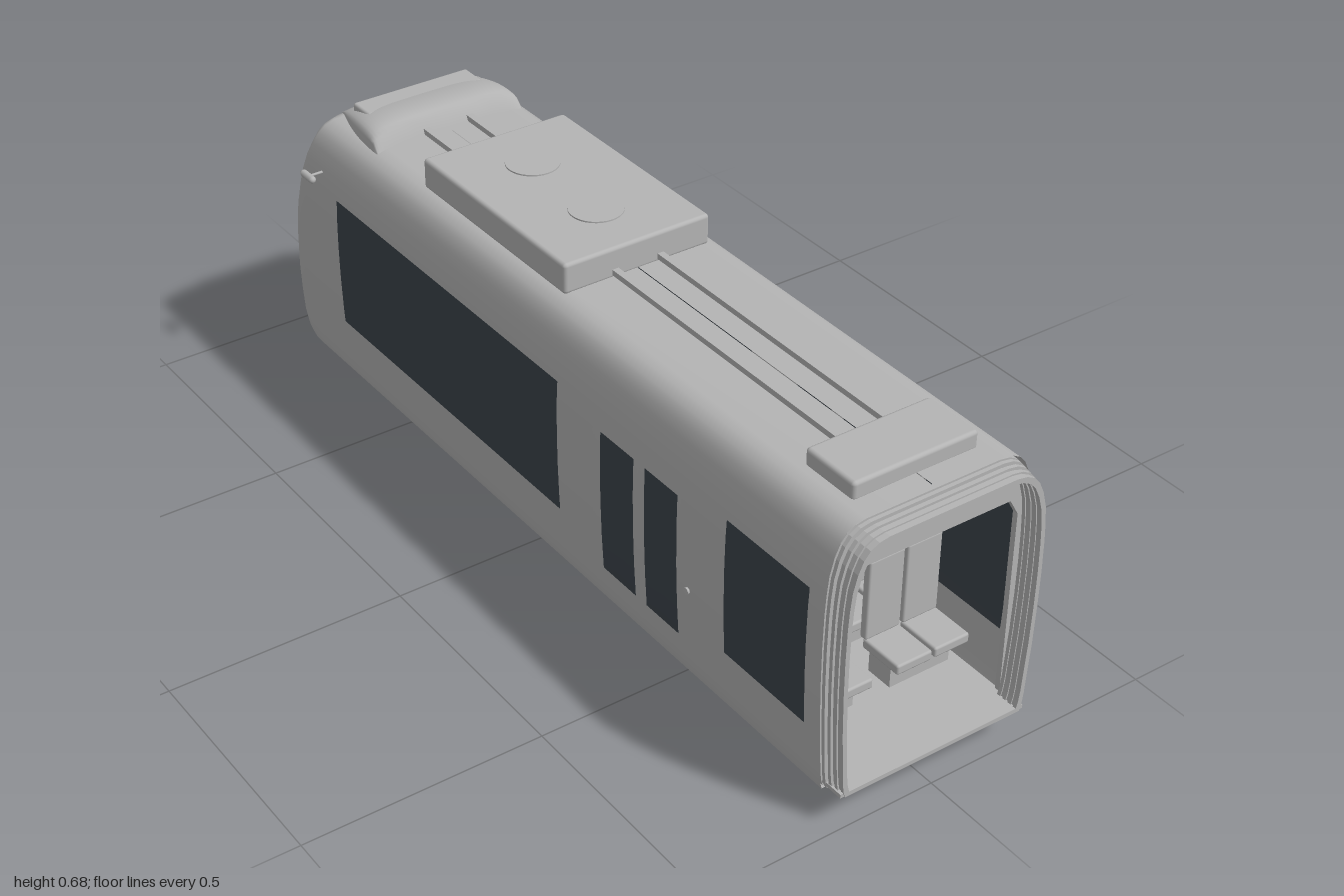
import * as THREE from 'three';
import { RoundedBoxGeometry } from 'three/addons/geometries/RoundedBoxGeometry.js';

const grey = new THREE.MeshStandardMaterial({ color: 0xb4b4b4, side: THREE.DoubleSide });
grey.name = 'body grey';
const dark = new THREE.MeshStandardMaterial({ color: 0x3c444b, side: THREE.DoubleSide });
dark.name = 'dark glass';

// Hull rows: height, half width, start of the nose curve, nose tip
const ROWS = [
  [0.06, 0.212, -0.8, -0.962], [0.075, 0.216, -0.8, -0.978], [0.1, 0.219, -0.8, -0.988],
  [0.15, 0.222, -0.8, -0.992], [0.215, 0.226, -0.8, -0.988], [0.3, 0.229, -0.8, -0.972],
  [0.38, 0.23, -0.8, -0.945], [0.45, 0.229, -0.797, -0.905], [0.49, 0.227, -0.793, -0.876],
  [0.53, 0.223, -0.787, -0.842], [0.565, 0.214, -0.778, -0.818], [0.59, 0.203, -0.772, -0.804],
  [0.606, 0.19, -0.766, -0.793], [0.616, 0.172, -0.761, -0.783], [0.62, 0.15, -0.755, -0.772],
  [0.621, 0.001, -0.75, -0.76],
];
const POWER = 2.4;

function rowAt(y) {
  let i = 0;
  while (i < ROWS.length - 2 && ROWS[i + 1][0] < y) i++;
  const t = (y - ROWS[i][0]) / (ROWS[i + 1][0] - ROWS[i][0]);
  return ROWS[i].map((v, k) => v + (ROWS[i + 1][k] - v) * t);
}

function noseZ(x, y) {
  const [, w, z0, zn] = rowAt(y);
  return z0 + (zn - z0) * Math.pow(1 - Math.pow(Math.abs(x) / w, POWER), 1 / POWER);
}

// Surface through a grid of points; isGlass picks the cells in the second material
function gridGeometry(grid, isGlass = () => false) {
  const cols = grid[0].length, lists = [[], []];
  for (let j = 0; j < grid.length - 1; j++) for (let i = 0; i < cols - 1; i++) {
    const a = j * cols + i, b = a + 1, c = b + cols, d = a + cols;
    lists[isGlass(i, j) ? 1 : 0].push(a, b, c, a, c, d);
  }
  const g = new THREE.BufferGeometry();
  g.setAttribute('position', new THREE.Float32BufferAttribute(grid.flat(2), 3));
  g.setIndex([...lists[0], ...lists[1]]);
  g.addGroup(0, lists[0].length, 0);
  g.addGroup(lists[0].length, lists[1].length, 1);
  g.computeVertexNormals();
  return g;
}

function hullGeometry() {
  const angles = [0, 8, 16];
  for (let k = 0; k <= 12; k++) angles.push(24 + 11 * k);
  angles.push(164, 172, 180);
  const grid = ROWS.map(([y, w, z0, zn]) => {
    const arc = angles.map(deg => {
      const c = Math.cos(deg * Math.PI / 180), s = Math.abs(Math.sin(deg * Math.PI / 180));
      return [w * Math.sign(c) * Math.abs(c) ** (2 / POWER), y, z0 + (zn - z0) * s ** (2 / POWER)];
    });
    return [[w, y, 0.95], ...arc, [-w, y, 0.95]];
  });
  return gridGeometry(grid, (i, j) => i >= 4 && i < 16 && j >= 4 && j < 9);
}

// Thin panel that follows the side wall
function wallPanel(side, zBack, zFront, y0, y1, offset) {
  const grid = [];
  for (let k = 0; k <= 8; k++) {
    const y = y0 + (y1 - y0) * k / 8, x = side * (rowAt(y)[1] + offset);
    const line = [[x, y, zBack], [x, y, zFront]];
    grid.push(side > 0 ? line : line.reverse());
  }
  return gridGeometry(grid);
}

// Body cross-section drawn inward by an inset
function sectionShape(inset, Type = THREE.Shape) {
  const half = ROWS.slice(0, -1).map(([y, w]) =>
    new THREE.Vector2(w - inset, 0.34 + (y - 0.34) * (0.28 - inset) / 0.28));
  return new Type([...half, ...half.map(p => new THREE.Vector2(-p.x, p.y)).reverse()]);
}

export function createModel() {
  const root = new THREE.Group();
  const add = (name, geo, mat = grey, x = 0, y = 0, z = 0) => {
    const m = new THREE.Mesh(geo, mat);
    m.name = name;
    m.position.set(x, y, z);
    root.add(m);
    return m;
  };
  const box = (name, w, h, d, x, y, z, mat = grey) => add(name, new THREE.BoxGeometry(w, h, d), mat, x, y, z);
  const rbox = (name, w, h, d, x, y, z, r) => add(name, new RoundedBoxGeometry(w, h, d, 2, r), grey, x, y, z);
  const rod = (name, a, b, r, mat = grey) => {
    const p = new THREE.Vector3(...a), q = new THREE.Vector3(...b), dir = q.clone().sub(p);
    const m = add(name, new THREE.CylinderGeometry(r, r, dir.length(), 10), mat);
    m.position.copy(p).add(q).multiplyScalar(0.5);
    m.quaternion.setFromUnitVectors(new THREE.Vector3(0, 1, 0), dir.normalize());
    return m;
  };
  const slab = (name, shape, depth, z) =>
    add(name, new THREE.ExtrudeGeometry(shape, { depth, bevelEnabled: false }), grey, 0, 0, z);

  // Hull with windscreen, and its underside following the nose
  add('hull', hullGeometry(), [grey, dark]);
  const plan = new THREE.Shape();
  plan.moveTo(0.212, -0.95);
  for (let k = 0; k <= 24; k++) {
    const x = 0.212 * Math.cos(k * Math.PI / 24);
    plan.lineTo(x, -noseZ(x, 0.06));
  }
  plan.lineTo(-0.212, -0.95);
  add('underside', new THREE.ShapeGeometry(plan).rotateX(-Math.PI / 2), grey, 0, 0.0605, 0);
  box('floor', 0.41, 0.012, 1.6, 0, 0.074, 0.19);

  // Open gangway end: bellows ribs, portal frame and sill
  for (let k = 0; k < 4; k++) {
    const ring = sectionShape(0.005 + 0.002 * k);
    ring.holes.push(sectionShape(0.02, THREE.Path));
    slab('bellowsRib', ring, 0.008, 0.95 + 0.014 * k);
  }
  const sleeve = sectionShape(0.012);
  sleeve.holes.push(sectionShape(0.018, THREE.Path));
  slab('bellowsSleeve', sleeve, 0.045, 0.95);
  const portal = sectionShape(0.004);
  portal.holes.push(new THREE.Path([[0.2, 0.08], [0.2, 0.48], [0.18, 0.515], [-0.18, 0.515], [-0.2, 0.48], [-0.2, 0.08]]
    .map(p => new THREE.Vector2(...p))));
  slab('portalFrame', portal, 0.012, 0.935);
  box('sill', 0.42, 0.008, 0.05, 0, 0.076, 0.973);

  // Cab bulkhead with window and hanging display
  slab('cabBulkhead', sectionShape(0.006), 0.012, -0.64);
  box('cabWindow', 0.105, 0.17, 0.004, -0.118, 0.335, -0.625, dark);
  box('displayCase', 0.128, 0.046, 0.02, 0, 0.478, 0.6);
  box('displayScreen', 0.12, 0.038, 0.004, 0, 0.477, 0.611, dark);

  for (const s of [1, -1]) {
    // Side windows, glazed on both faces of the wall
    for (const [zb, zf] of [[0.91, 0.68], [0.155, -0.665]])
      for (const off of [0.0015, -0.0015]) add('sideWindow', wallPanel(s, zb, zf, 0.19, 0.485, off), dark);
    // Double door
    add('doorPanel', wallPanel(s, 0.55, 0.28, 0.1, 0.49, 0.0015));
    for (const [zb, zf] of [[0.54, 0.44], [0.405, 0.3]]) {
      add('doorGlass', wallPanel(s, zb, zf, 0.14, 0.455, 0.003), dark);
      add('doorGlassInside', wallPanel(s, zb, zf, 0.14, 0.455, -0.0015), dark);
    }
    for (const z of [0.55, 0.422, 0.28]) add('doorEdge', wallPanel(s, z + 0.003, z - 0.003, 0.1, 0.49, 0.004));
    rod('doorButton', [s * 0.224, 0.26, 0.57], [s * 0.232, 0.26, 0.57], 0.007);

    // Mirrors
    rod('mirrorArm', [s * 0.22, 0.522, -0.73], [s * 0.257, 0.522, -0.73], 0.003);
    const mirror = add('mirror', new THREE.CapsuleGeometry(0.008, 0.034, 4, 10), grey, s * 0.257, 0.522, -0.73);
    mirror.rotation.x = Math.PI / 2;

    // Headlights
    for (const [x, r] of [[0.145, 0.02], [0.178, 0.01]]) {
      const z = noseZ(x, 0.14), slope = (noseZ(x + 0.01, 0.14) - z) / 0.01;
      const lamp = add('headlight', new THREE.SphereGeometry(r, 16, 8).scale(1, 1, 0.35), grey, s * x, 0.14, z);
      lamp.rotation.y = -s * Math.atan(slope);
    }

    // Roof rails
    box('roofRail', 0.014, 0.012, 1.4, s * 0.052, 0.63, 0.09);

    // Wheels with flanges and brake discs
    for (const z of [-0.15, -0.53]) {
      const profile = [[0, -0.01], [0.03, -0.012], [0.05, -0.005], [0.06, -0.012], [0.067, -0.01],
        [0.067, -0.003], [0.061, 0.002], [0.059, 0.014], [0.045, 0.012], [0.03, 0.016], [0, 0.016]];
      const wheel = add('wheel', new THREE.LatheGeometry(profile.map(p => new THREE.Vector2(...p)), 28), grey, s * 0.157, 0.068, z);
      wheel.rotation.z = -s * Math.PI / 2;
      rod('brakeDisc', [s * 0.096, 0.072, z], [s * 0.103, 0.072, z], 0.047);
      rbox('brakeCaliper', 0.03, 0.025, 0.04, s * 0.1, 0.11, z, 0.006);
    }

    // Seats in pairs, with grab poles
    for (const z of [0.76, 0.62, 0.12, -0.12, -0.36]) {
      for (const x of [0.069, 0.157]) {
        rbox('seatCushion', 0.082, 0.022, 0.1, s * x, 0.148, z + 0.05, 0.005);
        rbox('seatBack', 0.082, 0.178, 0.018, s * x, 0.246, z, 0.005);
      }
      box('seatPlinth', 0.14, 0.06, 0.06, s * 0.113, 0.108, z + 0.035);
    }
    rod('seatPole', [s * 0.157, 0.29, 0.745], [s * 0.157, 0.515, 0.745], 0.003);
    rod('doorPole', [s * 0.198, 0.08, 0.6], [s * 0.198, 0.515, 0.6], 0.003);
  }
  rod('centrePole', [0, 0.08, 0.42], [0, 0.6, 0.42], 0.003);

  // Axles and track brakes
  for (const z of [-0.15, -0.53]) rod('axle', [-0.15, 0.068, z], [0.15, 0.068, z], 0.013);
  for (const z of [-0.245, -0.435]) rod('trackBrake', [-0.09, 0.062, z], [0.09, 0.062, z], 0.024);

  // Roof equipment
  rbox('roofUnit', 0.334, 0.066, 0.5, 0, 0.649, -0.16, 0.008);
  for (const z of [-0.27, -0.05])
    add('roofFan', new THREE.CylinderGeometry(0.055, 0.055, 0.004, 32), grey, 0, 0.683, z);
  rbox('rearRoofBox', 0.274, 0.04, 0.13, 0, 0.634, 0.835, 0.008);

  // Streamlined cowl over the cab: flat sections that shrink toward the top
  const cowl = [];
  for (let k = 0; k <= 14; k++) {
    const t = k / 14, z = -0.58 - 0.2 * t;
    const h = 0.046 * Math.pow(Math.sin(Math.PI * Math.pow(t, 0.55)), 0.6) || 0, w = 0.176 - 0.035 * t * t;
    const line = [];
    for (let i = 0; i <= 20; i++) {
      const a = Math.PI * i / 20, c = Math.cos(a);
      line.push([w * Math.sign(c) * Math.abs(c) ** 0.45, 0.616 + h * Math.sin(a) ** 0.45, z]);
    }
    cowl.push(line);
  }
  add('cabCowl', gridGeometry(cowl));
  rbox('cowlVent', 0.276, 0.034, 0.065, 0, 0.638, -0.705, 0.006);

  // Lamp bar above the windscreen, and wiper
  rbox('lampBar', 0.24, 0.012, 0.02, 0, 0.528, -0.846, 0.004);
  rod('wiper', [0, 0.218, -0.988], [0.225, 0.38, -0.996], 0.0018, dark);
  return root;
}
